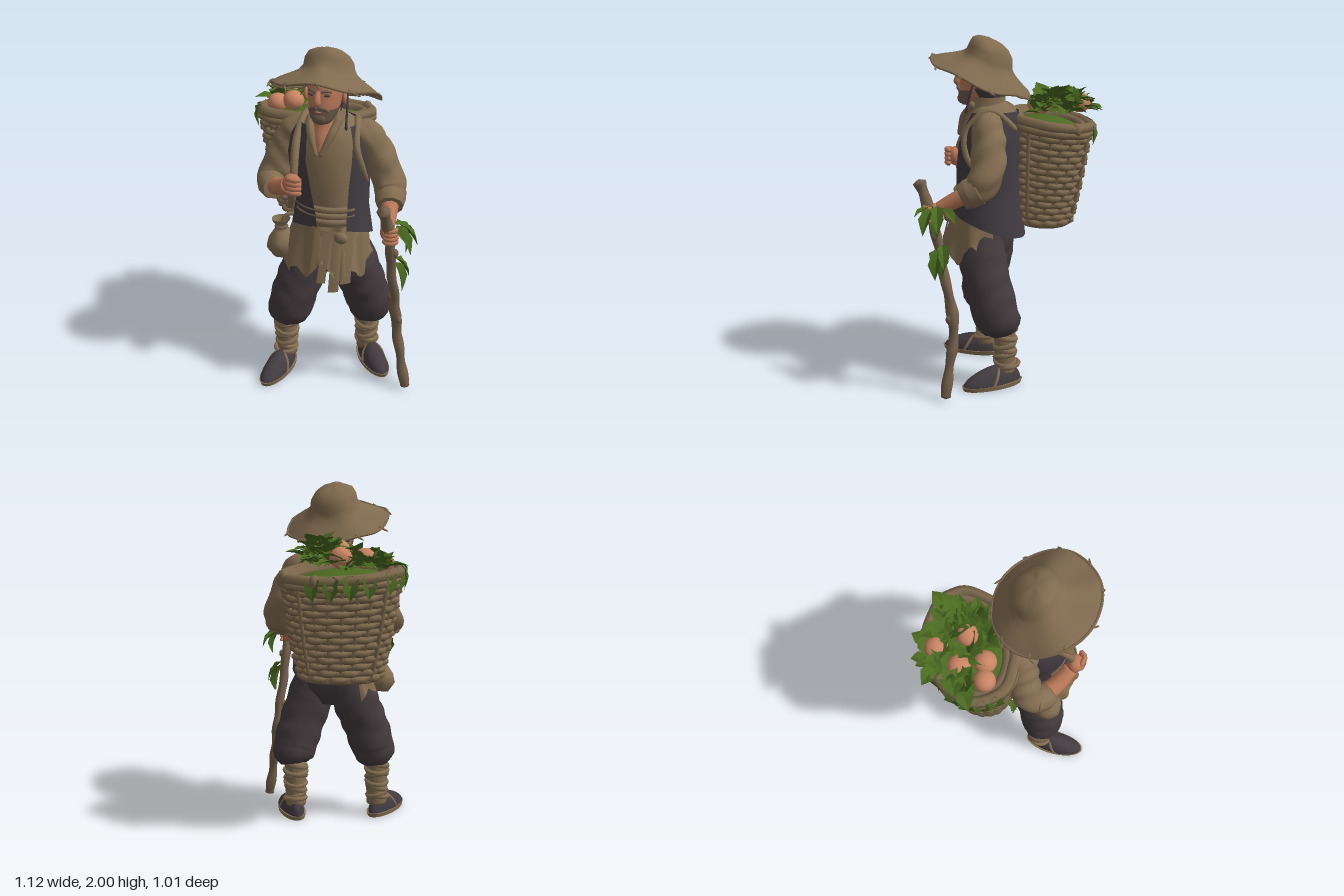
import * as THREE from 'three';
import { mergeGeometries, mergeVertices } from 'three/addons/utils/BufferGeometryUtils.js';

const mat = (name, color) => {
  const m = new THREE.MeshStandardMaterial({ color, side: THREE.DoubleSide });
  m.name = name;
  return m;
};
const V = (x, y, z) => new THREE.Vector3(x, y, z);
const lerp = THREE.MathUtils.lerp;

// Weld seams and smooth; optional cloth folds push vertices along their normals
function finish(g, fold = 0, freq = 30) {
  g.deleteAttribute('uv');
  g.deleteAttribute('normal');
  g = mergeVertices(g, 1e-5);
  g.computeVertexNormals();
  if (fold) {
    const p = g.attributes.position, n = g.attributes.normal;
    for (let i = 0; i < p.count; i++) {
      const x = p.getX(i), y = p.getY(i), z = p.getZ(i);
      const d = fold * Math.sin(freq * (y + 0.5 * x) + 2 * Math.sin(freq * 0.5 * (z - x)));
      p.setXYZ(i, x + n.getX(i) * d, y + n.getY(i) * d, z + n.getZ(i) * d);
    }
    g.computeVertexNormals();
  }
  return g;
}

// Elliptical rings [x, y, z, rx, rz] from bottom to top; angle 0 is the front.
// An open shell runs from angle a0 to a1, its opening widening by flare at the top.
function loft(rings, { a0 = 0, a1 = Math.PI * 2, flare = 0, seg = 32, fold = 0, freq = 30, hem } = {}) {
  const full = a1 - a0 > 6.28, pos = [], idx = [];
  const end = r => [r[0], r[1], r[2], 1e-4, 1e-4];
  const rs = full ? [end(rings[0]), ...rings, end(rings[rings.length - 1])] : rings;
  rs.forEach(([x, y, z, rx, rz], i) => {
    const f = flare * i / (rs.length - 1);
    for (let j = 0; j <= seg; j++) {
      const t = lerp(a0 + f, a1 - f, j / seg);
      pos.push(x + rx * Math.sin(t), y + (hem && i === 0 ? hem(t) : 0), z + rz * Math.cos(t));
      if (i && j) {
        const b = i * (seg + 1) + j, a = b - seg - 1;
        idx.push(a - 1, a, b - 1, a, b, b - 1);
      }
    }
  });
  const g = new THREE.BufferGeometry();
  g.setAttribute('position', new THREE.Float32BufferAttribute(pos, 3));
  g.setIndex(idx);
  return finish(g, fold, freq);
}

// Round-ended tube through points [x, y, z, radius]
function limb(pts, { seg = 20, sides = 10, fold = 0, freq = 30 } = {}) {
  const c = new THREE.CatmullRomCurve3(pts.map(p => V(p[0], p[1], p[2])));
  const g = new THREE.TubeGeometry(c, seg, 1, sides), p = g.attributes.position, v = V();
  for (let i = 0; i <= seg; i++) {
    const o = c.getPointAt(i / seg), k = c.getUtoTmapping(i / seg) * (pts.length - 1);
    const a = Math.min(Math.floor(k), pts.length - 2);
    const r = i === 0 || i === seg ? 1e-4 : lerp(pts[a][3], pts[a + 1][3], k - a);
    for (let j = 0; j <= sides; j++) {
      const n = i * (sides + 1) + j;
      v.fromBufferAttribute(p, n).sub(o).multiplyScalar(r).add(o);
      p.setXYZ(n, v.x, v.y, v.z);
    }
  }
  return finish(g, fold, freq);
}
const ball = (x, y, z, rx, ry = rx, rz = rx) => new THREE.SphereGeometry(1, 18, 12).scale(rx, ry, rz).translate(x, y, z);
const ringAt = (x, y, z, r, t, tx = 0, tz = 0) =>
  new THREE.TorusGeometry(r, t, 6, 24).rotateX(Math.PI / 2 + tx).rotateZ(tz).translate(x, y, z);

export function createModel() {
  const root = new THREE.Group();
  root.name = 'traveller';
  const cloth = mat('cloth', 0x846f52), straw = mat('straw', 0x806b4f), wicker = mat('wicker', 0x7d694d);
  const wood = mat('wood', 0x75614b), dark = mat('darkCloth', 0x423c41), trousers = mat('trousers', 0x433b3d);
  const skin = mat('skin', 0xbb7959), rootSkin = mat('rootVegetable', 0xc98464), green = mat('leaf', 0x4a6a20);
  const grey = mat('beard', 0x705c4d);
  const add = (name, m, g, parent = root) => {
    const mesh = new THREE.Mesh(g, m);
    mesh.name = name;
    parent.add(mesh);
    return mesh;
  };
  let seed = 7;
  const rnd = () => (seed = (seed * 16807) % 2147483647) / 2147483647;

  // Trousers
  const legCloth = { seg: 34, sides: 20, fold: .004, freq: 40 };
  add('hips', trousers, loft([[.01, .7, .13, .1, .1], [.01, .8, .13, .205, .16], [.02, 1, .12, .19, .16]]));
  add('rightTrouserLeg', trousers, limb([[-.07, .92, .13, .11], [-.12, .74, .14, .138], [-.175, .56, .19, .135],
    [-.215, .42, .21, .132], [-.235, .36, .2, .115], [-.245, .31, .2, .06]], legCloth));
  add('leftTrouserLeg', trousers, limb([[.09, .92, .12, .11], [.15, .74, .11, .138], [.195, .56, .06, .135],
    [.215, .42, .01, .132], [.21, .36, -.02, .115], [.2, .31, -.03, .06]], legCloth));

  // Wrapped shins and shoes
  for (const [side, ax, az, fx, fz, turn] of [['right', -.245, .2, -.26, .31, -.12], ['left', .19, -.03, .25, .03, .7]]) {
    add(side + 'Shin', cloth, limb([[ax, .36, az, .066], [ax, .22, az, .064], [ax, .06, az, .06]]));
    for (let i = 0; i < 6; i++)
      add(side + 'ShinWrap', cloth, ringAt(ax, .14 + i * .037, az, .054 + .002 * i, .017, i % 2 ? .22 : -.15, i % 3 ? .15 : -.25));
    const foot = new THREE.Group();
    foot.name = side + 'Shoe';
    foot.position.set(fx, 0, fz);
    foot.rotation.y = turn;
    root.add(foot);
    const g = new THREE.SphereGeometry(1, 24, 16), p = g.attributes.position;
    for (let i = 0; i < p.count; i++) {
      const z = p.getZ(i), y = Math.max(0, p.getY(i));
      p.setXYZ(i, p.getX(i) * (.07 + .008 * z), .015 + y * (.105 - .035 * z), z * .183);
    }
    add('shoeUpper', dark, finish(g), foot);
    add('shoeSole', cloth, new THREE.CylinderGeometry(1, .95, .024, 28).scale(.077, 1, .19).translate(0, .012, 0), foot);
    add('shoeTie', cloth, new THREE.TorusGeometry(.068, .01, 6, 20, Math.PI).scale(1, 1.5, 1).rotateX(-.5).translate(0, .02, .02), foot);
    add('ankleTie', cloth, ringAt(0, .12, -.1, .063, .013, .15), foot);
  }

  // Shirt, sash, vest and skirt flaps
  const body = [[.02, .93, .12, .2, .17], [.02, 1.1, .12, .19, .17], [.01, 1.25, .12, .2, .175], [0, 1.4, .11, .21, .175],
    [0, 1.5, .1, .195, .155], [0, 1.58, .09, .15, .125], [0, 1.63, .1, .08, .085]];
  add('shirt', cloth, loft(body, { fold: .004, freq: 40 }));
  add('vest', dark, loft(body.slice(0, 6).map(([x, y, z, rx, rz], i) => i ? [x, y, z, rx + .022, rz + .022] : [x, y, z - .01, rx + .035, rz + .045]),
    { a0: .64, a1: 6.2, flare: .35, seg: 44, fold: .003, hem: t => .01 + .085 * Math.cos(t) }));
  for (let i = 0; i < 3; i++)
    add('sash', cloth, new THREE.TorusGeometry(1, .09, 6, 30, Math.PI * .6).rotateZ(Math.PI * .2).rotateX(Math.PI / 2)
      .scale(.197, .2, .176).translate(.02, 1.05 + i * .037, .122));
  add('belt', cloth, loft([[.02, .96, .13, .222, .205], [.02, 1.01, .13, .212, .195]], { a0: -1.5, a1: 1.1 }));
  add('skirtFlap', cloth, loft([[.005, .765, .15, .255, .24], [.01, .87, .14, .24, .22], [.02, 1.03, .13, .205, .19]],
    { a0: -2.1, a1: 2.1, seg: 70, fold: .012, freq: 42, hem: t => .04 * Math.sin(t * 9) + .03 * Math.sin(t * 4 + 1) }));
  for (const [a0, a1, y] of [[.36, .6, .66], [.64, .9, .7], [.1, .3, .72]])
    add('sashTail', cloth, loft([[0, y, .15, .245, .252], [.01, .84, .145, .243, .238], [.02, 1, .13, .225, .207]], { a0, a1, seg: 6, fold: .004 }));
  add('sashKnot', cloth, ball(.14, .98, .32, .04, .035, .025));
  add('collar', cloth, loft([[0, 1.54, .13, .12, .125], [0, 1.6, .12, .105, .105], [0, 1.66, .105, .098, .09]], { a0: .45, a1: 5.83, flare: .15 }));
  for (const s of [-1, 1])
    add('collarLapel', cloth, limb([[s * .085, 1.63, .17, .02], [s * .06, 1.55, .24, .024], [s * .008, 1.43, .29, .012]]));

  // Head
  const head = new THREE.Group();
  head.name = 'head';
  head.position.y = .042;
  root.add(head);
  add('neck', skin, limb([[0, 1.66, .15, .06], [0, 1.58, .175, .065], [0, 1.5, .225, .05], [0, 1.43, .265, .025]]));
  const skull = [[0, 1.575, .215, .04, .05], [0, 1.605, .195, .066, .09], [0, 1.66, .175, .085, .108], [0, 1.73, .165, .094, .115],
    [0, 1.8, .16, .094, .115], [0, 1.85, .14, .08, .09]];
  add('face', skin, loft(skull), head);
  add('nose', skin, limb([[0, 1.755, .27, .012], [0, 1.72, .295, .018], [0, 1.698, .298, .022], [0, 1.685, .28, .015]]), head);
  add('beard', grey, loft(skull.slice(0, 3).map(([x, y, z, a, b]) => [x, y - .006, z, a + .005, b + .005]), { a0: -1.5, a1: 1.5 }), head);
  add('chinTuft', grey, ball(0, 1.605, .275, .04, .032, .02), head);
  add('hair', dark, loft([[0, 1.61, .13, .075, .08], [0, 1.67, .145, .1, .11], [0, 1.74, .145, .112, .125], [0, 1.83, .14, .108, .115]],
    { a0: 1.4, a1: 4.88, flare: -.25, fold: .004, freq: 60 }), head);
  add('fringe', dark, loft([[0, 1.805, .16, .098, .121], [0, 1.85, .14, .095, .11]], { a0: -1.6, a1: 1.6, seg: 40, hem: t => .008 * Math.sin(14 * t) - .01 * t * t }), head);
  add('mouth', skin, ball(0, 1.643, .285, .02, .006, .008), head);
  for (const s of [-1, 1]) {
    add('moustache', grey, limb([[0, 1.672, .29, .013], [s * .03, 1.664, .281, .013], [s * .052, 1.64, .26, .006]]), head);
    add('eyeSocket', grey, ball(s * .04, 1.735, .264, .024, .012, .009), head);
    add('eye', dark, ball(s * .04, 1.732, .271, .011, .004, .004), head);
    add('eyebrow', grey, limb([[s * .015, 1.75, .281, .007], [s * .042, 1.758, .27, .008], [s * .066, 1.747, .247, .005]]), head);
    add('ear', skin, ball(s * .11, 1.7, .165, .013, .035, .022), head);
  }
  add('hatCord', dark, limb([[.12, 1.78, .15, .006], [.128, 1.7, .18, .006], [.13, 1.62, .2, .006], [.132, 1.57, .21, .01]], { sides: 6 }));

  // Straw hat with a brim rising to the front
  const hatY = (x, z) => 1.77 + .4 * z + .035 * Math.hypot(x, z) * Math.sin(5 * Math.atan2(x, z) + 1);
  const profile = [[.298, 0], [.25, .03], [.2, .055], [.16, .08], [.14, .105], [.13, .145], [.11, .182], [.075, .205], [.04, .215], [0, .217]];
  const hat = new THREE.LatheGeometry(profile.map(p => new THREE.Vector2(...p)), 48), hp = hat.attributes.position;
  for (let i = 0; i < hp.count; i++) {
    const x = hp.getX(i), y = hp.getY(i), z = hp.getZ(i) * .93;
    hp.setXYZ(i, x, y + hatY(x, z), z + .16 - .5 * Math.min(y, .12));
  }
  add('strawHat', straw, finish(hat, .003, 24));
  const brim = [];
  for (let i = 0; i < 40; i++) {
    const a = i * Math.PI / 20, x = .297 * Math.sin(a), z = .277 * Math.cos(a);
    brim.push(V(x, hatY(x, z), z + .16));
    if (i % 4 === 1) {
      const o = brim[i], e = .03 + .02 * rnd();
      add('strawFray', straw, limb([[o.x * .9, o.y + .015, o.z, .007], [o.x, o.y, o.z, .007],
        [o.x + e * Math.sin(a + 1), o.y - .02, o.z + e * Math.cos(a + 1), .005]], { seg: 5, sides: 5 }));
    }
  }
  add('hatEdge', straw, new THREE.TubeGeometry(new THREE.CatmullRomCurve3(brim, true), 80, .007, 6, true));

  // Arms
  const sleeve = { seg: 26, sides: 18, fold: .006, freq: 45 };
  add('leftSleeve', cloth, limb([[.1, 1.53, .08, .065], [.2, 1.5, .06, .088], [.265, 1.38, .04, .097], [.315, 1.27, .04, .097],
    [.35, 1.19, .08, .09], [.37, 1.16, .14, .065]], sleeve));
  add('rightSleeve', cloth, limb([[-.1, 1.53, .08, .065], [-.2, 1.5, .07, .085], [-.27, 1.38, .08, .092], [-.32, 1.27, .11, .09],
    [-.335, 1.21, .16, .08], [-.295, 1.185, .22, .06]], sleeve));
  add('leftCuff', cloth, limb([[.35, 1.19, .07, .088], [.365, 1.16, .13, .085], [.376, 1.14, .17, .07]]));
  add('rightCuff', cloth, limb([[-.345, 1.21, .15, .078], [-.31, 1.19, .21, .078], [-.275, 1.19, .245, .066]]));
  add('leftForearm', skin, limb([[.365, 1.17, .12, .052], [.385, 1.11, .23, .045], [.4, 1.07, .3, .038]]));
  add('rightForearm', skin, limb([[-.32, 1.19, .19, .055], [-.23, 1.22, .28, .05], [-.15, 1.27, .34, .042]]));
  add('leftHand', skin, ball(.405, 1.06, .31, .042, .05, .05));
  add('rightHand', skin, ball(-.128, 1.285, .355, .054, .058, .045));
  for (let i = 0; i < 4; i++) {
    add('leftFinger', skin, limb([[.385, 1.09 - i * .024, .34, .013], [.425, 1.092 - i * .024, .37, .014], [.46, 1.09 - i * .024, .34, .013],
      [.455, 1.085 - i * .024, .3, .01]], { seg: 10, sides: 7 }));
    add('rightFinger', skin, limb([[-.155, 1.325 - i * .026, .385, .014], [-.1, 1.328 - i * .026, .402, .016], [-.065, 1.322 - i * .026, .37, .015]],
      { seg: 8, sides: 7 }));
  }

  // Walking staff
  add('staff', wood, limb([[.405, 1.235, .4, .038], [.41, 1.17, .375, .032], [.425, 1.03, .325, .027], [.42, .88, .29, .028], [.43, .7, .255, .027],
    [.435, .5, .21, .033], [.45, .34, .2, .029], [.485, .16, .22, .028], [.515, .005, .23, .031]], { seg: 90, sides: 9, fold: .004, freq: 36 }));
  for (const [y, x, z] of [[.93, .45, .3], [.62, .41, .24], [.46, .46, .22]]) add('staffKnot', wood, ball(x, y, z, .016, .025, .02));

  // Shoulder straps
  add('rightStrap', cloth, limb([[-.1, 1.5, -.08, .022], [-.14, 1.6, .06, .024], [-.14, 1.5, .24, .024], [-.125, 1.32, .335, .022],
    [-.14, 1.18, .32, .02], [-.21, 1.07, .19, .02], [-.2, 1.02, -.02, .02]], { seg: 36 }));
  add('leftStrap', cloth, limb([[.1, 1.48, -.08, .018], [.15, 1.59, .06, .02], [.185, 1.48, .19, .02], [.22, 1.34, .18, .018],
    [.215, 1.24, .1, .016], [.18, 1.2, .03, .012]], { seg: 36 }));

  // Hip pouch
  const pouch = [[.001, 0], [.05, .008], [.085, .06], [.08, .11], [.045, .165], [.025, .185], [.045, .22], [.05, .235]];
  add('pouch', cloth, finish(new THREE.LatheGeometry(pouch.map(p => new THREE.Vector2(...p)), 24), .004, 60)).position.set(-.25, .765, .23);
  add('pouchTie', wood, ringAt(-.25, .95, .23, .03, .01));
  add('pouchCord', cloth, limb([[-.25, .96, .23, .012], [-.22, 1.02, .22, .012], [-.17, 1.03, .2, .012]]));

  // Woven basket: turned ellipse that widens upwards and leans back, its rim dipping to the rear
  const at = (v, a, out = 0) => {
    const w = Math.max(v, 0) ** .75, p = (lerp(.215, .32, w) + out) * Math.cos(a), q = (lerp(.155, .225, w) + out) * Math.sin(a);
    const z = -p * .423 + q * .906;
    return V(lerp(-.165, -.19, v) + p * .906 + q * .423, .925 + .59 * v + .13 * z * v, z + lerp(-.17, -.205, v));
  };
  const hoop = (v, r, f, n = 48) => {
    const pts = [];
    for (let k = 0; k < n; k++) pts.push(at(v, k / n * Math.PI * 2, f(k)));
    return new THREE.TubeGeometry(new THREE.CatmullRomCurve3(pts, true), 96, r, 6, true);
  };
  const rows = [hoop(0, .016, () => 0)];
  for (let i = 0; i < 15; i++) rows.push(hoop(.02 + i * .066, .02, k => ((k + 2 * (i % 2)) % 4 < 2 ? .009 : -.007)));
  add('basketWeave', wicker, mergeGeometries(rows));
  add('basketRim', wicker, mergeGeometries([hoop(1, .032, k => .004 * Math.sin(k)), hoop(.94, .022, k => .014 + .004 * Math.cos(k)),
    hoop(.97, .035, () => -.035)]));
  // Domed disc across the basket at height v
  const disc = (v, rise, name, m) => {
    const g = new THREE.RingGeometry(.001, 1, 40, 5), p = g.attributes.position;
    const mid = at(v, 0).add(at(v, Math.PI)).multiplyScalar(.5);
    for (let i = 0; i < p.count; i++) {
      const r = Math.hypot(p.getX(i), p.getY(i));
      const o = mid.clone().lerp(at(v, Math.atan2(p.getY(i), p.getX(i))), r);
      p.setXYZ(i, o.x, o.y + rise * (1 - r * r), o.z);
    }
    add(name, m, finish(g));
  };
  disc(0, -.02, 'basketBase', wicker);
  disc(.93, .06, 'basketFill', green);
  for (let k = 0; k < 24; k++) {
    const tie = k % 6 === 3, s = tie ? .02 : .002;
    add(tie ? 'basketTie' : 'basketStake', wicker, limb([0, .33, .66, 1].map(v => [...at(v, k / 24 * Math.PI * 2, s).toArray(), .012]),
      { seg: 10, sides: 6 }));
  }
  for (const a of [-1.1, -.35]) {
    const p = at(1, a, .01);
    add('rimKnot', wicker, ball(p.x, p.y, p.z, .03, .04, .03));
  }

  // Root vegetables
  for (const [x, y, z, r] of [[-.39, 1.57, -.1, .06], [-.295, 1.59, -.11, .062], [-.34, 1.6, -.24, .062], [-.18, 1.64, -.22, .06], [-.26, 1.61, -.37, .064]])
    add('rootVegetable', rootSkin, ball(x, y, z, r, r * .92, r));

  // Jagged folded leaf along +z, placed by yaw and pitch
  const leaf = (x, y, z, yaw, pitch, len, wide = 1) => {
    const g = new THREE.PlaneGeometry(1, 1, 2, 5), p = g.attributes.position;
    const w = [.06, .36, .28, .34, .2, 0], l = [0, .22, .4, .6, .78, 1];
    for (let i = 0; i < p.count; i++) {
      const r = Math.floor(i / 3), s = i % 3 - 1;
      p.setXYZ(i, s * w[r] * len * wide, (Math.abs(s) * w[r] * .45 - .3 * l[r] ** 2) * len, l[r] * len);
    }
    const flat = g.toNonIndexed().rotateX(-pitch).rotateY(yaw).translate(x, y, z);
    flat.computeVertexNormals();
    return flat;
  };
  const greens = [];
  for (const [x, y, z, n] of [[-.43, 1.53, -.22, 18], [-.36, 1.55, -.32, 18], [-.27, 1.56, -.38, 14], [-.17, 1.59, -.33, 22], [-.08, 1.61, -.28, 30],
    [-.09, 1.6, -.2, 24], [-.25, 1.56, -.2, 16], [-.08, 1.57, -.34, 18], [-.17, 1.55, -.14, 8]])
    for (let i = 0; i < n; i++)
      greens.push(leaf(x + (rnd() - .5) * .08, y + rnd() * .04, z + (rnd() - .5) * .08, i * 2.4, .1 + rnd() * 1.2, .08 + rnd() * .05, 1.1));
  for (const a of [3, 3.3, 3.6, 3.9, 4.3, 4.6, 4.9, 5.2]) {
    const p = at(1, a, .005), c = at(1, a, -.1);
    greens.push(leaf(p.x, p.y + .03, p.z, Math.atan2(p.x - c.x, p.z - c.z), -1.15, .13));
  }
  greens.push(leaf(-.36, 1.14, .03, -.4, -1, .1), leaf(-.37, 1.12, .02, .5, -.9, .1));
  add('basketLeaves', green, mergeGeometries(greens));
  add('staffLeaves', green, mergeGeometries([[.45, 1.1, .31, 1.3, -.7, .17], [.46, 1.1, .28, 1.9, -.6, .16], [.45, 1.09, .33, .9, -.1, .1],
    [.47, 1.08, .27, 1.5, -1.1, .15], [.43, 1.08, .25, 2.4, -.2, .13], [.44, .86, .28, 1.4, -1, .17], [.44, .88, .26, 2, -.7, .14],
    [.45, .84, .24, 1.2, -1.1, .14]].map(a => leaf(...a, .65))));
  return root;
}
